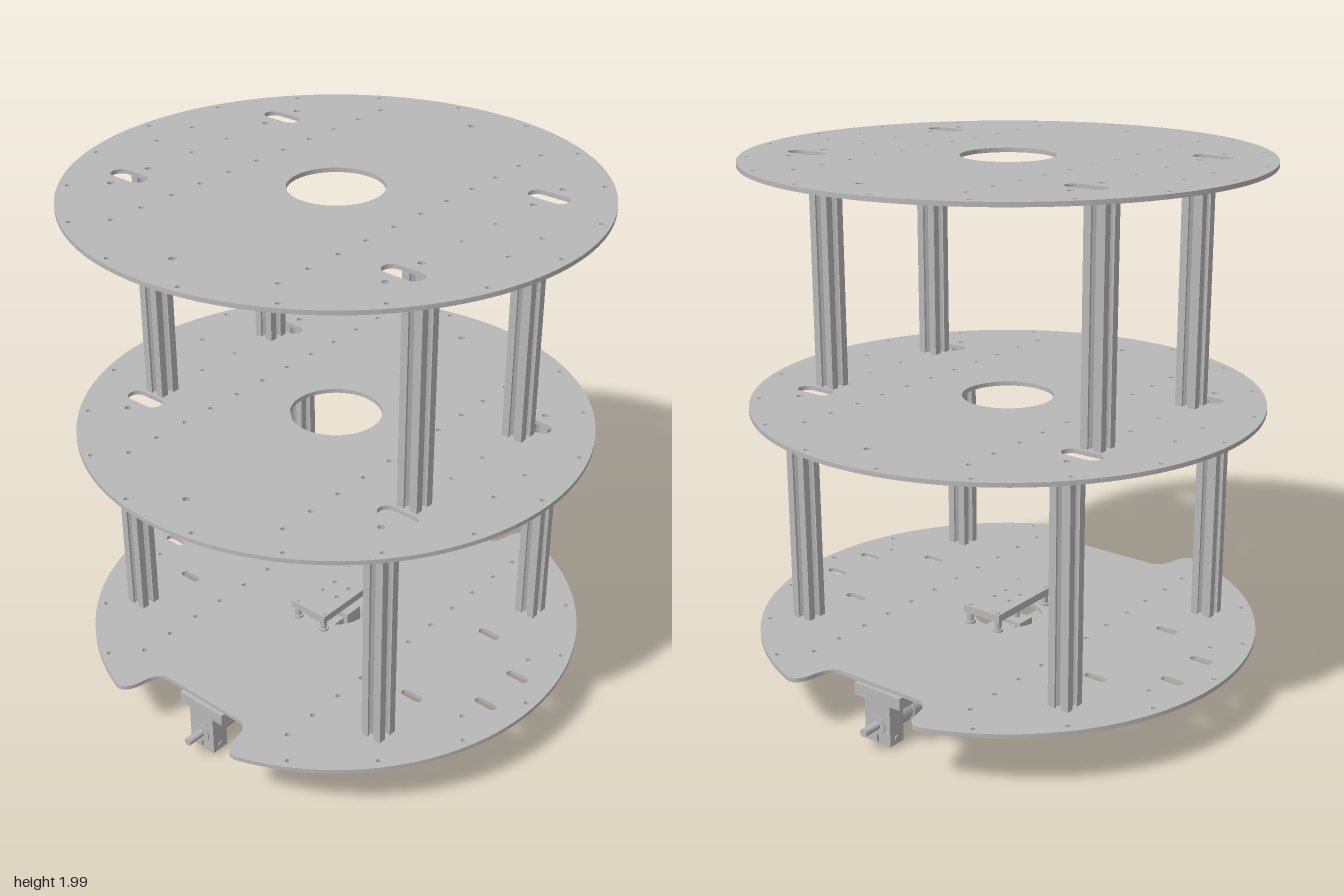
import * as THREE from 'three';

const metal = new THREE.MeshStandardMaterial({ color: 0xb8b8b8 });
metal.name = 'grey metal';

const R = 0.943, THICK = 0.016, AXIS = 0.09;

function add(parent, name, geometry, x = 0, y = 0, z = 0) {
  const mesh = new THREE.Mesh(geometry, metal);
  mesh.name = name;
  mesh.position.set(x, y, z);
  parent.add(mesh);
  return mesh;
}

function box(parent, name, x0, x1, y0, y1, z0, z1) {
  return add(parent, name, new THREE.BoxGeometry(x1 - x0, y1 - y0, z1 - z0),
    (x0 + x1) / 2, (y0 + y1) / 2, (z0 + z1) / 2);
}

// cylinder along z
function rod(parent, name, r, z0, z1, x = 0, y = AXIS, sides = 40) {
  const g = new THREE.CylinderGeometry(r, r, z1 - z0, sides).rotateX(Math.PI / 2);
  return add(parent, name, g, x, y, (z0 + z1) / 2);
}

// upright cylinder
function post(parent, name, r, y0, y1, x, z, sides = 16) {
  return add(parent, name, new THREE.CylinderGeometry(r, r, y1 - y0, sides), x, (y0 + y1) / 2, z);
}

function extrude(shape, depth, curveSegments = 32) {
  return new THREE.ExtrudeGeometry(shape, { depth, bevelEnabled: false, curveSegments });
}

// hole, stretched along x by half length h to make a slot
function hole(x, z, r, n = 10, h = 0) {
  const pts = [];
  for (let i = 0; i < n; i++) {
    const a = (i + 0.5) / n * Math.PI * 2, c = Math.cos(a);
    pts.push(new THREE.Vector2(x + r * c + Math.sign(c) * h, z + r * Math.sin(a)));
  }
  return new THREE.Path(pts);
}

// the same hole in all four quadrants
function mirrored(shape, x, z, r, n, h) {
  for (const sx of x ? [1, -1] : [1])
    for (const sz of z ? [1, -1] : [1]) shape.holes.push(hole(sx * x, sz * z, r, n, h));
}

const RIM = [[0.155, 0.9], [0.455, 0.79], [0.695, 0.585], [0.855, 0.31], [0.91, 0]];
const ROW = [0, 0.14, 0.28, 0.415, 0.555, 0.69];

function addPlate(parent, name, shape, top) {
  add(parent, name, extrude(shape, THICK, 48).rotateX(Math.PI / 2), 0, top, 0);
}

function upperPlate() {
  const s = new THREE.Shape();
  s.absarc(0, 0, R, 0, Math.PI * 2);
  s.holes.push(hole(0, 0, 0.17, 48));
  mirrored(s, 0.6, 0.39, 0.035, 20, 0.043);
  for (const z of [0.3, 0.475]) mirrored(s, 0.6, z, 0.013);
  for (const [x, z] of RIM) mirrored(s, x, z, 0.009);
  for (const z of ROW) mirrored(s, 0.365, z, 0.01);
  mirrored(s, 0.775, 0.09, 0.009);
  mirrored(s, 0.597, 0.09, 0.008);
  mirrored(s, 0, 0.77, 0.014);
  return s;
}

// disc with a rounded notch at the front and the back
function basePlate() {
  const s = new THREE.Shape();
  const a = Math.acos(0.3 / R);
  s.absarc(0, 0, R, -a, a);
  s.quadraticCurveTo(0.255, 0.9, 0.24, 0.83);
  s.quadraticCurveTo(0.23, 0.745, 0.17, 0.745);
  s.lineTo(-0.17, 0.745);
  s.quadraticCurveTo(-0.23, 0.745, -0.24, 0.83);
  s.quadraticCurveTo(-0.255, 0.9, -0.3, R * Math.sin(a));
  s.absarc(0, 0, R, Math.PI - a, Math.PI + a);
  s.quadraticCurveTo(-0.255, -0.9, -0.24, -0.83);
  s.quadraticCurveTo(-0.23, -0.745, -0.17, -0.745);
  s.lineTo(0.17, -0.745);
  s.quadraticCurveTo(0.23, -0.745, 0.24, -0.83);
  s.quadraticCurveTo(0.255, -0.9, 0.3, -R * Math.sin(a));
  s.holes.push(hole(0, 0, 0.13, 40));
  mirrored(s, 0.8, 0.1, 0.017, 16, 0.028);
  mirrored(s, 0.57, 0.24, 0.017, 16, 0.028);
  for (const [x, z] of RIM.slice(1)) mirrored(s, x, z, 0.009);
  for (const z of ROW) mirrored(s, 0.365, z, 0.01);
  mirrored(s, 0.775, 0.09 + 0.12, 0.009);
  return s;
}

// slotted square rail section, one quarter turned four times
function railGeometry(length) {
  const quarter = [[0.042, -0.042], [0.042, -0.013], [0.034, -0.013], [0.034, -0.022],
    [0.017, -0.009], [0.017, 0.009], [0.034, 0.022], [0.034, 0.013], [0.042, 0.013]];
  const pts = [];
  for (let k = 0; k < 4; k++)
    for (const [x, y] of quarter)
      pts.push(new THREE.Vector2(x, y).rotateAround(new THREE.Vector2(), k * Math.PI / 2));
  const s = new THREE.Shape(pts);
  s.holes.push(hole(0, 0, 0.008, 12));
  return extrude(s, length).rotateX(-Math.PI / 2);
}

function driveUnit() {
  const g = new THREE.Group();
  g.name = 'driveUnit';
  // motor, gearbox and rear block
  box(g, 'encoderBlock', -0.05, 0.05, 0.03, 0.205, 0.012, 0.088);
  rod(g, 'encoderCap', 0.07, 0.008, 0.095);
  rod(g, 'motorBody', 0.075, 0.095, 0.385);
  rod(g, 'motorBand', 0.079, 0.1, 0.115);
  rod(g, 'gearbox', 0.08, 0.385, 0.515);
  post(g, 'connectorPin', 0.011, 0.2, 0.285, 0, 0.055);
  // angle bracket: rounded face plate and shelf
  const face = new THREE.Shape();
  face.moveTo(0.084, 0.225);
  face.lineTo(-0.084, 0.225);
  face.lineTo(-0.084, AXIS);
  face.absarc(0, AXIS, 0.084, Math.PI, Math.PI * 2);
  face.lineTo(0.084, 0.225);
  add(g, 'bracketFace', extrude(face, 0.012), 0, 0, 0.515);
  box(g, 'bracketShelf', -0.084, 0.084, 0.2, 0.224, 0.35, 0.52);
  for (let i = 0; i < 4; i++) {
    const a = i * Math.PI / 2;
    rod(g, 'faceScrew', 0.01, 0.525, 0.535, 0.062 * Math.cos(a), AXIS + 0.062 * Math.sin(a), 12);
  }
  // shaft and split coupling
  rod(g, 'shaft', 0.015, 0.5, 0.835, 0, AXIS, 24);
  rod(g, 'gearboxBoss', 0.03, 0.525, 0.54, 0, AXIS, 24);
  rod(g, 'couplingInner', 0.041, 0.553, 0.608);
  rod(g, 'couplingSpider', 0.035, 0.608, 0.622);
  rod(g, 'couplingOuter', 0.041, 0.622, 0.677);
  // clamp bearing with a bolted flange and a slit below the shaft
  const b = new THREE.Shape();
  const outline = [[0.105, 0.224], [-0.105, 0.224], [-0.105, 0.178], [-0.058, 0.178],
    [-0.058, 0.02], [-0.004, 0.02], [-0.004, 0.078], [0.004, 0.078], [0.004, 0.02],
    [0.058, 0.02], [0.058, 0.178], [0.105, 0.178]];
  b.setFromPoints(outline.map(([x, y]) => new THREE.Vector2(x, y)));
  add(g, 'bearingBlock', extrude(b, 0.07), 0, 0, 0.69);
  rod(g, 'bearingRing', 0.036, 0.685, 0.765, 0, AXIS, 32);
  const screw = post(g, 'clampScrew', 0.012, -0.062, 0.062, 0, 0.725);
  screw.rotation.z = Math.PI / 2;
  screw.position.y = 0.042;
  return g;
}

export function createModel() {
  const model = new THREE.Group();
  model.name = 'threeTierPlatform';

  addPlate(model, 'topPlate', upperPlate(), 2);
  addPlate(model, 'middlePlate', upperPlate(), 1.12);
  addPlate(model, 'basePlate', basePlate(), 0.24);

  // support rails
  const rail = railGeometry(0.864);
  for (const sx of [1, -1]) {
    for (const sz of [1, -1]) {
      add(model, 'lowerRail', rail, sx * 0.6, 0.24, sz * 0.472);
      add(model, 'upperRail', rail, sx * 0.6, 1.12, sz * 0.3);
      // small platform legs and screw heads
      post(model, 'platformLeg', 0.013, 0.235, 0.287, sx * 0.065, sz * 0.15);
      post(model, 'platformFoot', 0.02, 0.24, 0.25, sx * 0.065, sz * 0.15);
      post(model, 'platformScrew', 0.009, 0.31, 0.318, sx * 0.065, sz * 0.15, 12);
    }
  }

  // small raised platform over the centre hole
  const deck = new THREE.Shape();
  deck.setFromPoints([[-0.084, -0.168], [0.084, -0.168], [0.084, 0.168], [-0.084, 0.168]]
    .map(([x, y]) => new THREE.Vector2(x, y)));
  mirrored(deck, 0.035, 0.035, 0.009);
  add(model, 'raisedPlatform', extrude(deck, 0.029).rotateX(Math.PI / 2), 0, 0.314, 0);

  // front and back drives
  const front = driveUnit(), back = driveUnit();
  back.rotation.y = Math.PI;
  model.add(front, back);
  return model;
}
